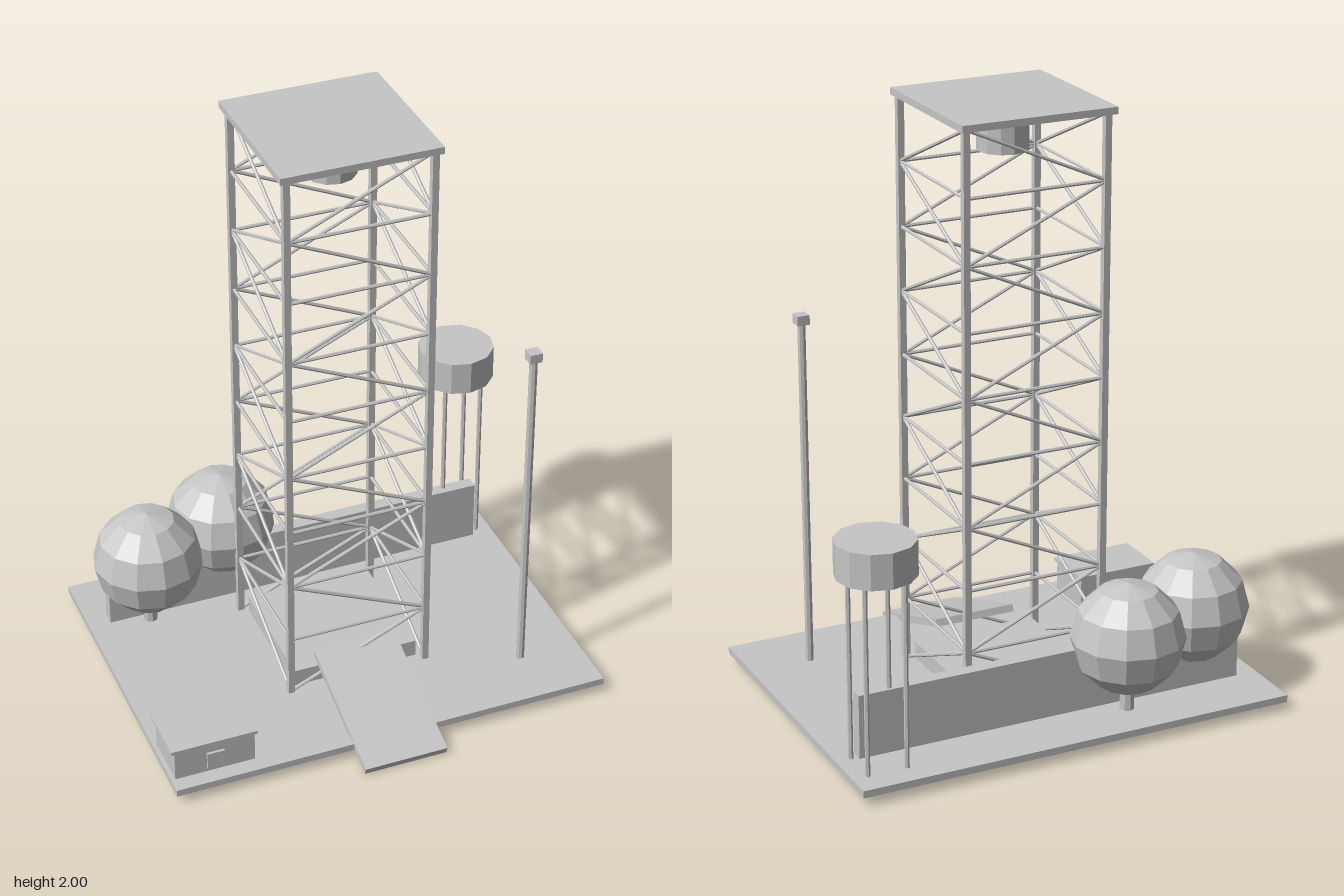
import * as THREE from 'three';

const grey = new THREE.MeshStandardMaterial({ color: 0xc6c6c6 });
grey.name = 'concrete grey';

// Faceted mesh with hard normals
function part(parent, name, geometry, x = 0, y = 0, z = 0) {
  const g = geometry.index ? geometry.toNonIndexed() : geometry;
  g.computeVertexNormals();
  const mesh = new THREE.Mesh(g, grey);
  mesh.name = name;
  mesh.position.set(x, y, z);
  parent.add(mesh);
  return mesh;
}

// Box given by its limits on each axis
function box(parent, name, x0, x1, y0, y1, z0, z1) {
  return part(parent, name, new THREE.BoxGeometry(x1 - x0, y1 - y0, z1 - z0),
    (x0 + x1) / 2, (y0 + y1) / 2, (z0 + z1) / 2);
}

// Upright cylinder from y0 to y1
function post(parent, name, r, sides, x, y0, y1, z) {
  return part(parent, name, new THREE.CylinderGeometry(r, r, y1 - y0, sides), x, (y0 + y1) / 2, z);
}

// Thin rod between two points
function rod(parent, name, a, b, r = 0.006) {
  const dir = b.clone().sub(a);
  const mesh = part(parent, name, new THREE.CylinderGeometry(r, r, dir.length(), 6));
  mesh.position.copy(a).add(b).multiplyScalar(0.5);
  mesh.quaternion.setFromUnitVectors(new THREE.Vector3(0, 1, 0), dir.normalize());
  return mesh;
}

function group(parent, name) {
  const g = new THREE.Group();
  g.name = name;
  parent.add(g);
  return g;
}

export function createModel() {
  const model = new THREE.Group();
  model.name = 'launchSite';
  const floor = 0.055, under = 0.031;

  // Ground slab and the pad below the tower
  box(model, 'groundSlab', -0.756, 0.742, under, floor, -0.6, 0.538);
  box(model, 'launchPad', -0.222, 0.212, under, 0.114, -0.243, 0.19);

  // Lattice tower: four legs, nine braced bays, roof and hanging drum
  const tower = group(model, 'tower');
  const cx = -0.005, cz = -0.027, h = 0.239, top = 1.98, bays = 9;
  const step = (top - floor) / bays;
  const at = (sx, y, sz) => new THREE.Vector3(cx + sx * h, y, cz + sz * h);
  for (const sx of [-1, 1]) for (const sz of [-1, 1]) {
    const p = at(sx, 0, sz), w = 0.011;
    box(tower, 'towerLeg', p.x - w, p.x + w, under, top, p.z - w, p.z + w);
  }
  for (let i = 0; i < bays; i++) {
    const y0 = floor + i * step, y1 = y0 + step;
    const s = i % 2 ? 1 : -1; // the zigzag swaps side at every bay
    for (const side of [-1, 1]) {
      rod(tower, 'diagonalBrace', at(s, y0, side), at(-s, y1, side));
      rod(tower, 'diagonalBrace', at(side, y0, -s), at(side, y1, s));
      if (i > 0) {
        rod(tower, 'crossBar', at(-1, y0, side), at(1, y0, side));
        rod(tower, 'crossBar', at(side, y0, -1), at(side, y0, 1));
      }
    }
  }
  box(tower, 'towerRoof', -0.268, 0.256, 1.977, 2, -0.292, 0.234);
  post(tower, 'hangingDrum', 0.083, 12, -0.007, 1.836, 1.953, cz);

  // Sloping ramp at the front
  const ramp = part(model, 'ramp', new THREE.BoxGeometry(0.285, 0.025, 0.472), -0.008, 0.089, 0.407);
  ramp.rotation.x = 0.333;

  // Blast wall
  box(model, 'blastWall', -0.682, 0.668, under, 0.27, -0.4, -0.355);

  // Spherical tanks on short pedestals
  for (const [x, z] of [[-0.547, -0.33], [-0.244, -0.452]]) {
    const tank = group(model, 'sphereTank');
    part(tank, 'tankBall', new THREE.SphereGeometry(0.187, 12, 6), x, 0.308, z);
    post(tank, 'tankPedestal', 0.024, 8, x, under, 0.16, z);
  }

  // Water tower on four legs
  const water = group(model, 'waterTower');
  const wx = 0.625, wz = -0.45;
  post(water, 'waterTank', 0.13, 12, wx, 0.692, 0.809, wz);
  for (const sx of [-1, 1]) for (const sz of [-1, 1])
    post(water, 'waterTowerLeg', 0.008, 6, wx + sx * 0.066, under, 0.7, wz + sz * 0.066);

  // Lightning mast with a square cap
  const mast = group(model, 'mast');
  post(mast, 'mastPole', 0.014, 8, 0.534, under, 1.24, 0.328);
  box(mast, 'mastCap', 0.513, 0.555, 1.236, 1.268, 0.307, 0.349);

  // Control hut with flat roof and window
  const hut = group(model, 'controlHut');
  box(hut, 'hutWalls', -0.742, -0.472, under, 0.162, 0.302, 0.484);
  box(hut, 'hutRoof', -0.754, -0.464, 0.16, 0.172, 0.293, 0.49);
  box(hut, 'hutWindow', -0.635, -0.576, 0.07, 0.13, 0.484, 0.493);

  return model;
}
